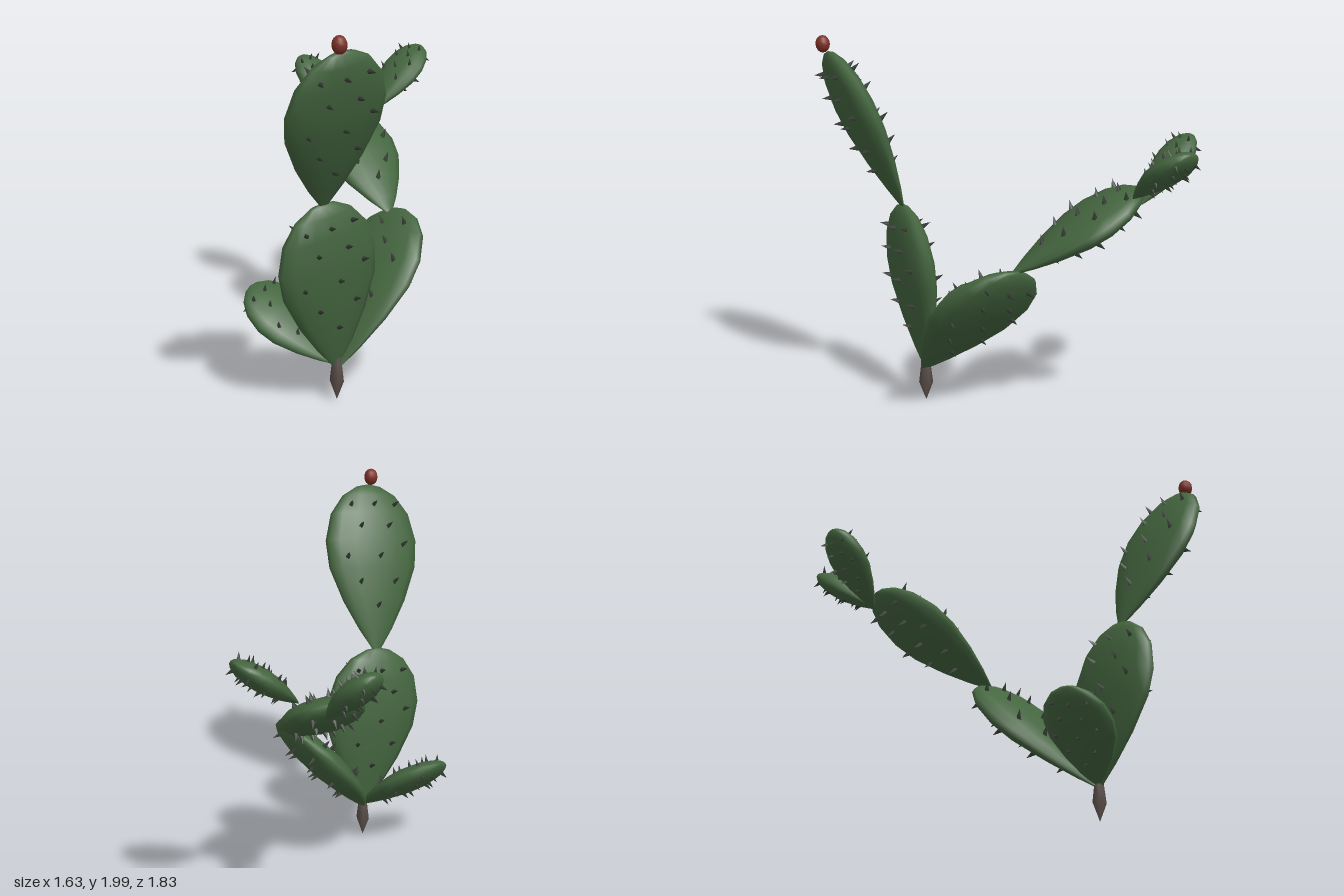
import * as THREE from 'three';
import { mergeGeometries } from 'three/addons/utils/BufferGeometryUtils.js';

const V = (a) => new THREE.Vector3(...a);
const UP = new THREE.Vector3(0, 1, 0);

// Half-width of a pad (fraction of its maximum) against height fraction
const PROFILE = [[0, 0.06], [0.13, 0.36], [0.3, 0.68], [0.5, 0.95], [0.66, 1],
  [0.82, 0.86], [0.93, 0.58], [0.985, 0.26], [1, 0]];

function profileAt(t) {
  const i = Math.max(1, PROFILE.findIndex((p) => p[0] >= t));
  const [t0, r0] = PROFILE[i - 1], [t1, r1] = PROFILE[i];
  return r0 + (r1 - r0) * (t - t0) / (t1 - t0);
}

// Staggered spine rows: height fraction and positions across the face
const ROWS = [[0.27, [0]], [0.41, [-0.45, 0.45]], [0.56, [-0.65, 0.05]],
  [0.63, [0.6]], [0.74, [-0.35, 0.3]], [0.87, [-0.65, 0, 0.65]]];

const materials = {
  pad: new THREE.MeshStandardMaterial({ color: 0x44653f }),
  spine: new THREE.MeshStandardMaterial({ color: 0x363d34 }),
  root: new THREE.MeshStandardMaterial({ color: 0x5b504b }),
  fruit: new THREE.MeshStandardMaterial({ color: 0x7d3026 }),
};

function lathe(points, sides) {
  return new THREE.LatheGeometry(points.map(([y, r]) => new THREE.Vector2(r, y)), sides);
}

// Spines on both flat faces of a pad, leaning a little to its tip
function spineGeometry(length, halfWidth, halfThick, size) {
  const cones = [];
  for (const side of [1, -1]) {
    for (const [t, across] of ROWS) {
      for (const a of across) {
        const u = a * side, r = profileAt(t);
        const x = u * halfWidth * r;
        const z = side * Math.sqrt(1 - u * u) * halfThick * r * 0.96;
        const n = new THREE.Vector3(x / halfWidth ** 2, 0, z / halfThick ** 2).normalize();
        n.y = 0.35;
        const cone = new THREE.ConeGeometry(0.016 * size, 0.055 * size, 4);
        cone.translate(0, 0.022 * size, 0);
        cone.applyQuaternion(new THREE.Quaternion().setFromUnitVectors(UP, n.normalize()));
        cone.translate(x, t * length, z);
        cones.push(cone);
      }
    }
  }
  return mergeGeometries(cones);
}

// A flattened egg-shaped pad from base to tip, spreading along widthDir
function makePad({ name, base, tip, widthDir, width, thick, size = 1 }) {
  const axis = V(tip).sub(V(base));
  const length = axis.length();
  axis.normalize();
  const across = V(widthDir);
  across.addScaledVector(axis, -across.dot(axis)).normalize();
  const normal = new THREE.Vector3().crossVectors(across, axis);

  const group = new THREE.Group();
  group.name = name;
  const body = lathe(PROFILE, 14).scale(width / 2, length, thick / 2);
  const bodyMesh = new THREE.Mesh(body, materials.pad);
  bodyMesh.name = name + 'Body';
  const spines = new THREE.Mesh(spineGeometry(length, width / 2, thick / 2, size), materials.spine);
  spines.name = name + 'Spines';
  group.add(bodyMesh, spines);
  group.quaternion.setFromRotationMatrix(new THREE.Matrix4().makeBasis(across, axis, normal));
  group.position.set(...base);
  return group;
}

const PADS = [
  { name: 'uprightPad', base: [0.37, 0.19, 0.41], tip: [0.42, 1.09, 0.55],
    widthDir: [-0.14, 0, 1], width: 0.57, thick: 0.17 },
  { name: 'topPad', base: [0.42, 1.07, 0.54], tip: [0.75, 1.92, 0.72],
    widthDir: [-0.15, 0, 1], width: 0.55, thick: 0.17 },
  { name: 'backPad', base: [0.38, 0.19, 0.41], tip: [0.17, 0.86, -0.2],
    widthDir: [1, 0, 0.1], width: 0.58, thick: 0.16 },
  { name: 'lowSidePad', base: [0.37, 0.2, 0.4], tip: [-0.08, 0.55, 0.6],
    widthDir: [0, 0, 1], width: 0.39, thick: 0.13, size: 0.8 },
  { name: 'branchPad', base: [0.17, 0.84, -0.15], tip: [-0.47, 1.25, -0.38],
    widthDir: [0.1, -0.2, 1], width: 0.44, thick: 0.17 },
  { name: 'smallSidePad', base: [-0.44, 1.18, -0.42], tip: [-0.79, 1.5, -0.38],
    widthDir: [0, 0, 1], width: 0.23, thick: 0.13, size: 0.75 },
  { name: 'smallBackPad', base: [-0.33, 1.25, -0.51], tip: [-0.38, 1.55, -0.9],
    widthDir: [1, 0, 0], width: 0.27, thick: 0.12, size: 0.75 },
];

export function createModel() {
  const model = new THREE.Group();
  model.name = 'cactus';
  for (const pad of PADS) model.add(makePad(pad));

  // Pointed woody root
  const root = new THREE.Mesh(
    lathe([[0, 0], [0.1, 0.038], [0.2, 0.026], [0.25, 0.02]], 6), materials.root);
  root.name = 'root';
  root.position.set(0.37, 0.01, 0.41);
  model.add(root);

  // Red fruit on the highest pad
  const fruit = new THREE.Mesh(new THREE.SphereGeometry(0.038, 10, 8), materials.fruit);
  fruit.name = 'fruit';
  fruit.scale.y = 1.2;
  fruit.position.set(0.763, 1.955, 0.75);
  model.add(fruit);
  return model;
}
